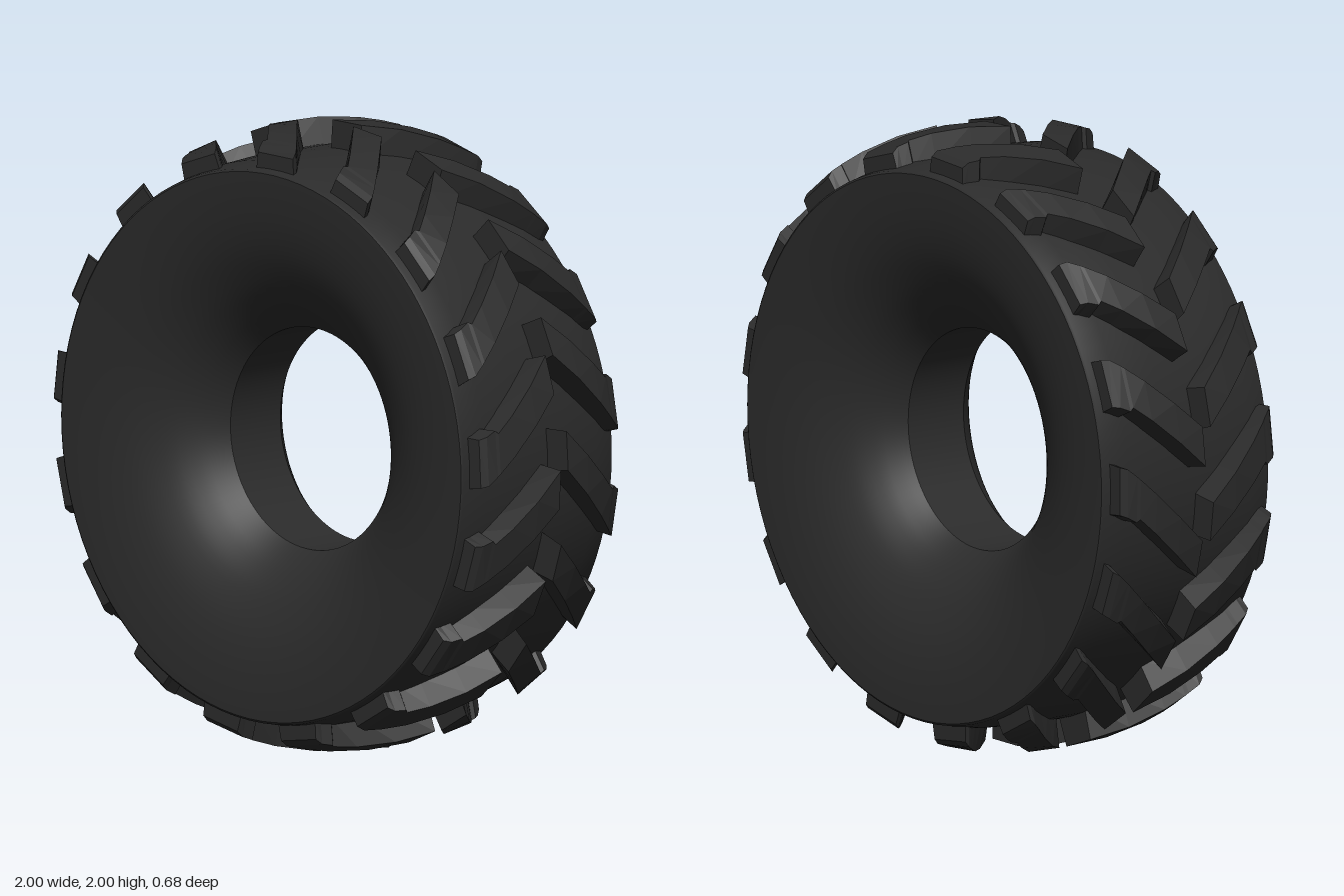
import * as THREE from 'three';
import { mergeGeometries } from 'three/addons/utils/BufferGeometryUtils.js';

const LUGS = 17;
const rad = THREE.MathUtils.degToRad;

// Surface of revolution around the z axis from [radius, z] pairs
function ring(points, smooth) {
  let pts = points.map(([r, z]) => new THREE.Vector2(r, z));
  if (smooth) pts = new THREE.SplineCurve(pts).getPoints(24);
  return new THREE.LatheGeometry(pts, 96).rotateX(Math.PI / 2);
}

// Stations from centre to shoulder: z, angle offset, trailing and leading half width, top and base radius
const stations = [
  [0.016, 0, 3.6, 3.6, 1.0, 0.89],
  [0.11, -5, 3.6, 3.6, 0.997, 0.89],
  [0.2, -9.9, 3.7, 3.7, 0.983, 0.885],
  [0.255, -12.9, 3.8, 3.8, 0.968, 0.88],
  [0.265, -13.4, 3.9, 4.9, 0.964, 0.88],
  [0.295, -14.8, 4.1, 5.3, 0.954, 0.87],
  [0.313, -15.2, 4.1, 5.3, 0.936, 0.865],
];

// One slanted lug; side is +1 for the front row, -1 for the back row
function lugGeometry(side, angle) {
  const sections = stations.map(([z, offset, trail, lead, top, base]) =>
    [[base, -trail - 0.8], [top, -trail], [top, lead], [base, lead + 0.8]].map(([r, w]) => {
      const a = rad(angle + offset + w);
      return [r * Math.cos(a), r * Math.sin(a), z * side];
    }));
  const pos = [];
  const tri = (a, b, c) => pos.push(...a, ...(side > 0 ? b : c), ...(side > 0 ? c : b));
  const quad = (a, b, c, d) => { tri(a, b, c); tri(a, c, d); };
  for (let i = 0; i < sections.length - 1; i++) {
    const p = sections[i], q = sections[i + 1];
    for (let j = 0; j < 4; j++) {
      const k = (j + 1) % 4;
      quad(p[j], p[k], q[k], q[j]);
    }
  }
  const first = sections[0], last = sections[sections.length - 1];
  quad(first[0], first[3], first[2], first[1]);
  quad(last[0], last[1], last[2], last[3]);
  const geometry = new THREE.BufferGeometry();
  geometry.setAttribute('position', new THREE.Float32BufferAttribute(pos, 3));
  geometry.computeVertexNormals();
  return geometry;
}

export function createModel() {
  const rubber = new THREE.MeshStandardMaterial({ color: 0x2b2b2b });
  rubber.name = 'black rubber';
  const tyre = new THREE.Group();
  tyre.name = 'tyre';
  const add = (name, geometry) => {
    const mesh = new THREE.Mesh(geometry, rubber);
    mesh.name = name;
    tyre.add(mesh);
  };

  // Tread band and the straight bore
  add('treadBand', ring([[0.875, -0.34], [0.882, -0.335], [0.9, -0.25], [0.91, -0.1],
    [0.91, 0.1], [0.9, 0.25], [0.882, 0.335], [0.875, 0.34]]));
  add('bore', ring([[0.355, 0.113], [0.355, -0.113]]));

  // Dished sidewalls curving in to the bore
  const wall = [[0.875, 0.34], [0.8, 0.336], [0.7, 0.323], [0.6, 0.296],
    [0.5, 0.248], [0.43, 0.196], [0.385, 0.15], [0.355, 0.113]];
  add('frontSidewall', ring(wall, true));
  add('backSidewall', ring(wall.map(([r, z]) => [r, -z]).reverse(), true));

  // Two staggered rows of slanted lugs
  for (const [name, side, phase] of [['frontLugs', 1, 123.6], ['backLugs', -1, 130.6]]) {
    const lugs = [];
    for (let i = 0; i < LUGS; i++) lugs.push(lugGeometry(side, phase + (i * 360) / LUGS));
    add(name, mergeGeometries(lugs));
  }

  tyre.position.y = 1;
  const model = new THREE.Group();
  model.name = 'tractorTyre';
  model.add(tyre);
  return model;
}
